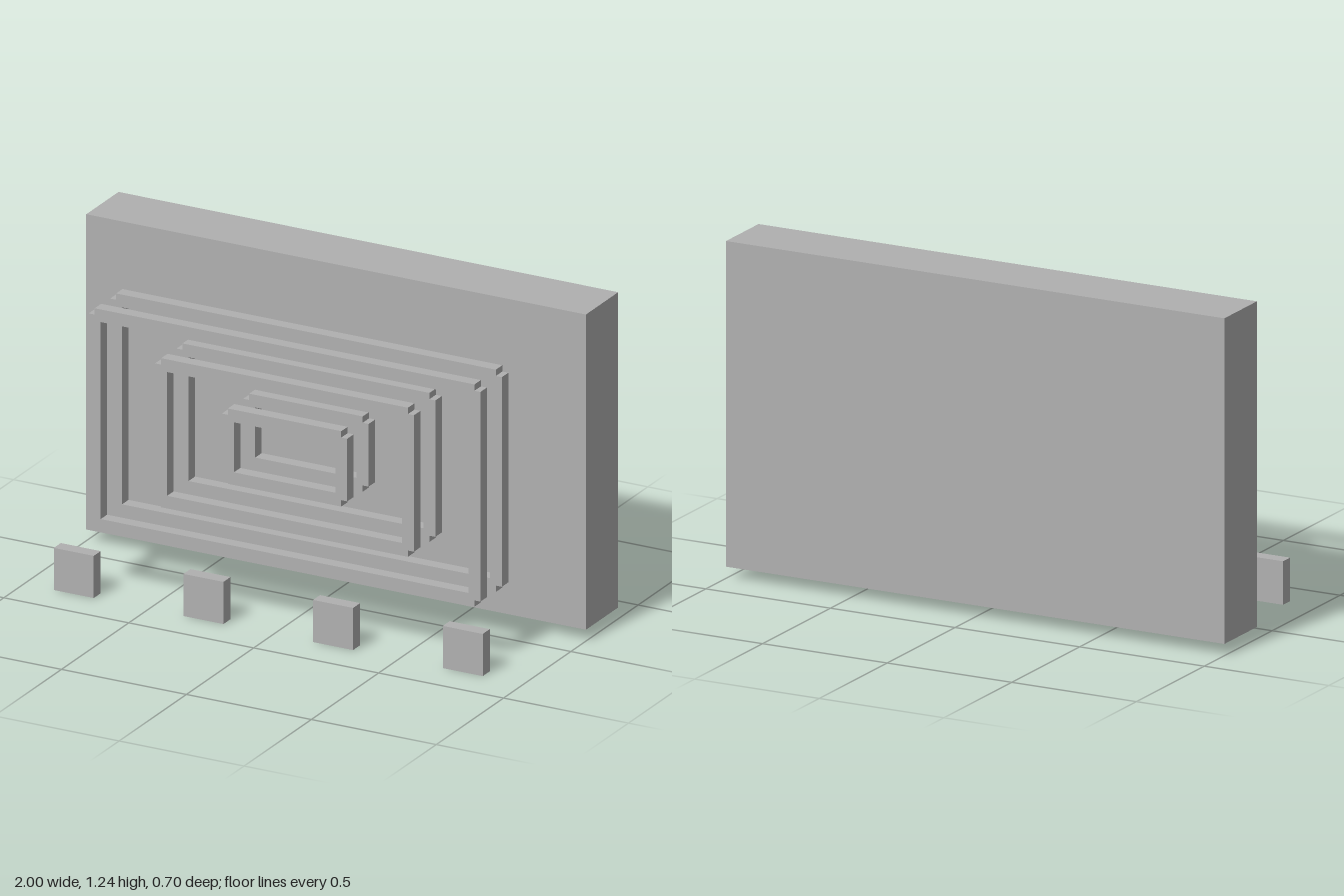
import * as THREE from 'three';

const BAR = 0.048; // thickness of the frame bars
const CENTRE_Y = 0.642;

// Rectangular frame with small square notches at its outer corners;
// a and b are the half width and half height along the bar centre lines.
function frameGeometry(a, b) {
  const h = BAR / 2;
  const shape = new THREE.Shape([
    [a, -b], [a + h, -b], [a + h, b], [a, b],
    [a, b + h], [-a, b + h], [-a, b], [-a - h, b],
    [-a - h, -b], [-a, -b], [-a, -b - h], [a, -b - h],
  ].map(([x, y]) => new THREE.Vector2(x, y)));
  const x = a - h, y = b - h;
  shape.holes.push(new THREE.Path(
    [[-x, -y], [-x, y], [x, y], [x, -y]].map(([u, v]) => new THREE.Vector2(u, v))));
  const geometry = new THREE.ExtrudeGeometry(shape, { depth: BAR, bevelEnabled: false });
  return geometry.translate(0, 0, -h);
}

export function createModel() {
  const model = new THREE.Group();
  model.name = 'framedPanel';
  const grey = new THREE.MeshStandardMaterial({ color: 0xb0b0b0 });
  grey.name = 'grey';

  const add = (parent, name, geometry, x, y, z) => {
    const mesh = new THREE.Mesh(geometry, grey);
    mesh.name = name;
    mesh.position.set(x, y, z);
    parent.add(mesh);
  };

  // Thick slab at the back
  add(model, 'backPanel', new THREE.BoxGeometry(2, 1.197, 0.24), 0, 0.6415, -0.232);

  // Two layers of three nested frames floating in front of the slab
  const sizes = [['outerFrame', 0.76, 0.398], ['middleFrame', 0.494, 0.259], ['innerFrame', 0.227, 0.119]];
  [['rearFrames', 0.088], ['frontFrames', 0.247]].forEach(([layerName, z]) => {
    const layer = new THREE.Group();
    layer.name = layerName;
    sizes.forEach(([name, a, b]) => add(layer, name, frameGeometry(a, b), 0, CENTRE_Y, z));
    model.add(layer);
  });

  // Row of small blocks at the front
  const blocks = new THREE.Group();
  blocks.name = 'frontBlocks';
  for (let i = 0; i < 4; i++) {
    add(blocks, 'block', new THREE.BoxGeometry(0.16, 0.16, 0.052), -0.8 + i * 0.519, 0.08, 0.326);
  }
  model.add(blocks);

  return model;
}
